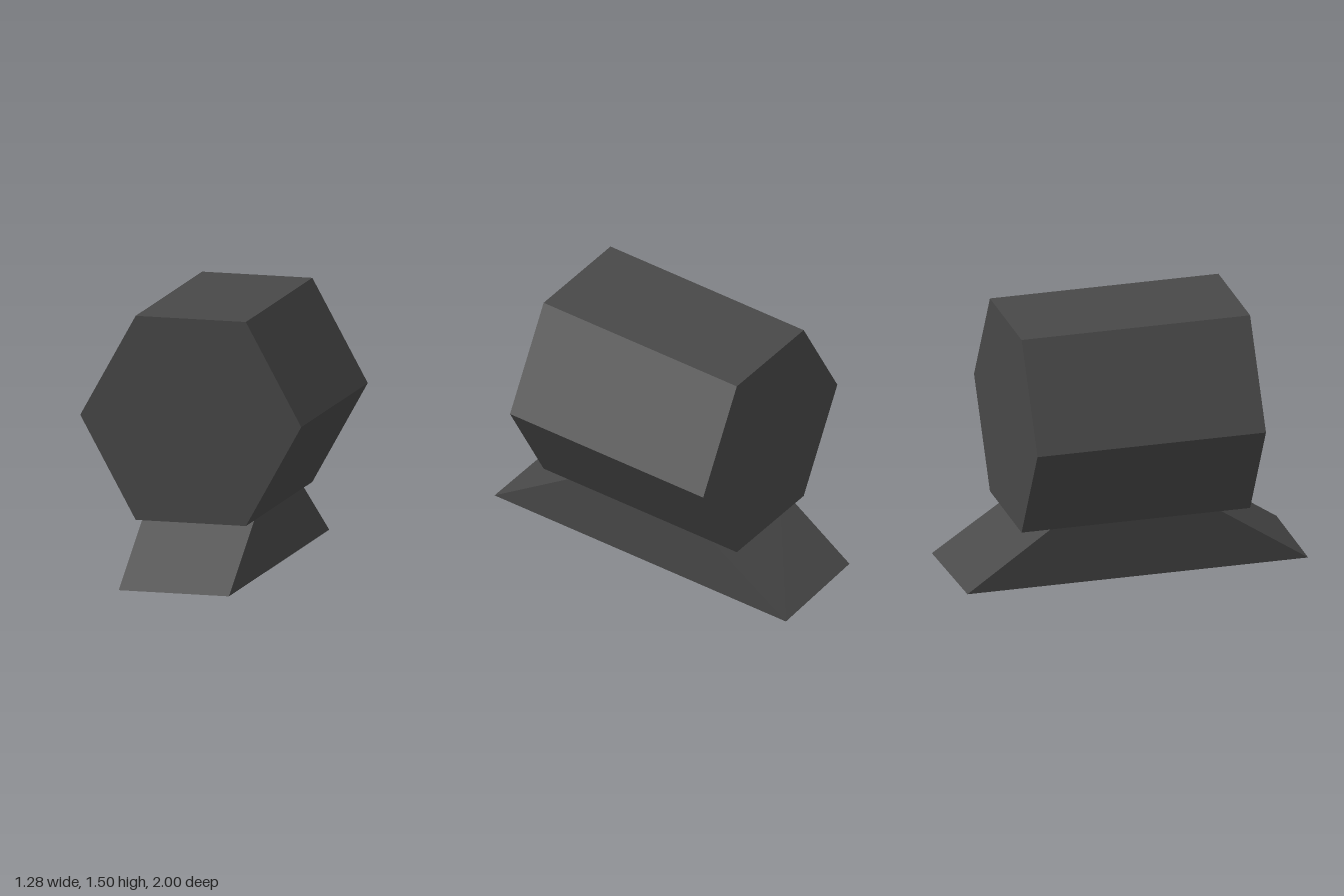
import * as THREE from 'three';

const HALF_WIDTH = 0.32;
const BASE_HEIGHT = 0.336;

// Straight prism along z, centred on z = 0
function prism(points, depth) {
  const shape = new THREE.Shape(points.map(([x, y]) => new THREE.Vector2(x, y)));
  const geometry = new THREE.ExtrudeGeometry(shape, { depth, bevelEnabled: false });
  geometry.translate(0, 0, -depth / 2);
  return geometry;
}

export function createModel() {
  const group = new THREE.Group();
  group.name = 'hexagonalDrumOnStand';

  const darkGrey = new THREE.MeshStandardMaterial({ color: 0x484848 });
  darkGrey.name = 'darkGrey';

  // Hexagonal drum lying along z
  const middle = 0.916, top = 1.496;
  const drum = new THREE.Mesh(prism([
    [-HALF_WIDTH, BASE_HEIGHT], [HALF_WIDTH, BASE_HEIGHT], [0.642, middle],
    [HALF_WIDTH, top], [-HALF_WIDTH, top], [-0.642, middle],
  ], 1.326), darkGrey);
  drum.name = 'drum';
  group.add(drum);

  // Wedge-ended stand, its profile turned to run along z
  const standGeometry = prism([
    [-1, 0], [1, 0], [0.495, BASE_HEIGHT], [-0.495, BASE_HEIGHT],
  ], HALF_WIDTH * 2);
  standGeometry.rotateY(-Math.PI / 2);

  // The back foot is slightly shorter on the model's right
  const position = standGeometry.attributes.position;
  for (let i = 0; i < position.count; i++) {
    if (position.getX(i) < 0 && position.getY(i) < 0.01 && position.getZ(i) < 0) {
      position.setZ(i, -0.977);
    }
  }
  standGeometry.computeVertexNormals();
  const stand = new THREE.Mesh(standGeometry, darkGrey);
  stand.name = 'stand';
  group.add(stand);

  return group;
}
